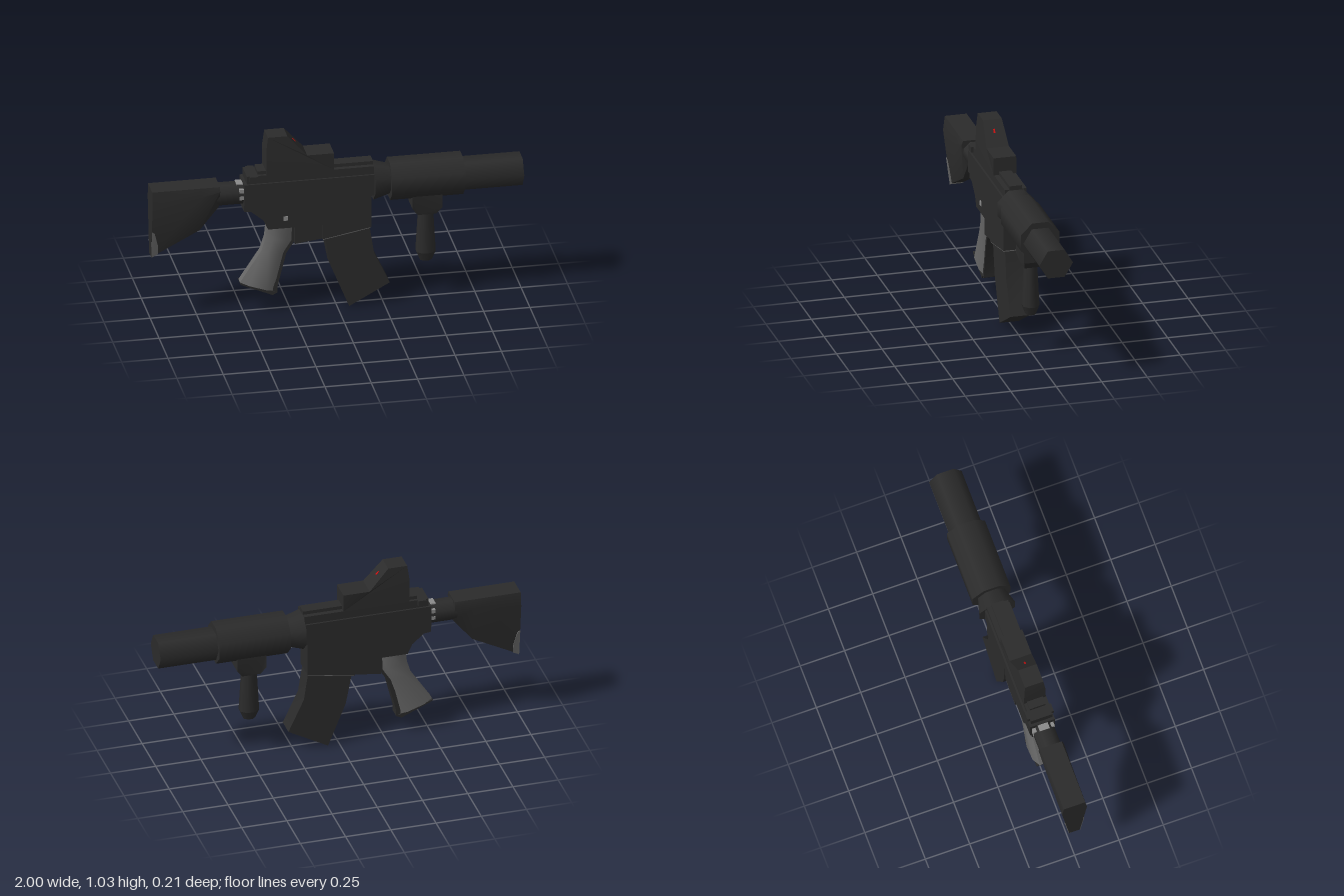
import * as THREE from 'three';
import { toCreasedNormals } from 'three/addons/utils/BufferGeometryUtils.js';

const material = (name, color) => {
  const m = new THREE.MeshStandardMaterial({ color });
  m.name = name;
  return m;
};

export function createModel() {
  const model = new THREE.Group();
  model.name = 'carbine';
  const dark = material('dark metal', 0x2b2b2b);
  const grey = material('worn grey', 0x666666);
  const light = material('bare metal', 0x8a8a8a);
  const red = material('red dot', 0xd01010);

  const add = (name, geometry, mat = dark) => {
    const mesh = new THREE.Mesh(geometry, mat);
    mesh.name = name;
    model.add(mesh);
    return mesh;
  };

  // Box from its limits, symmetric in z
  const box = (name, x0, x1, y0, y1, halfZ, mat) =>
    add(name, new THREE.BoxGeometry(x1 - x0, y1 - y0, halfZ * 2), mat)
      .position.set((x0 + x1) / 2, (y0 + y1) / 2, 0);

  // Side profile extruded across z; half width may vary with height
  const prism = (name, points, halfWidth, mat) => {
    const shape = new THREE.Shape(points.map(p => new THREE.Vector2(...p)));
    const g = new THREE.ExtrudeGeometry(shape, { depth: 2, bevelEnabled: false });
    g.translate(0, 0, -1);
    const pos = g.attributes.position;
    for (let i = 0; i < pos.count; i++) {
      const w = typeof halfWidth === 'number' ? halfWidth : halfWidth(pos.getX(i), pos.getY(i));
      pos.setZ(i, pos.getZ(i) * w);
    }
    return add(name, toCreasedNormals(g, 0.5), mat);
  };

  // Loft through symmetric rings; each ring runs from point a to point b,
  // with [t, halfZ] pairs giving the width along that line
  const loft = (name, rings, mat) => {
    const loops = rings.map(({ a, b, section }) => {
      const side = s => section.map(([t, z]) =>
        new THREE.Vector3(a[0] + (b[0] - a[0]) * t, a[1] + (b[1] - a[1]) * t, s * z));
      return [...side(1), ...side(-1).reverse()];
    });
    const n = loops[0].length, tris = [];
    for (let r = 0; r + 1 < loops.length; r++) {
      for (let i = 0; i < n; i++) {
        const j = (i + 1) % n, p = loops[r], q = loops[r + 1];
        tris.push([p[i], p[j], q[j]], [p[i], q[j], q[i]]);
      }
    }
    const first = loops[0], last = loops[loops.length - 1];
    for (let i = 1; i + 1 < n; i++) {
      tris.push([first[0], first[i + 1], first[i]], [last[0], last[i], last[i + 1]]);
    }
    // Turn all faces outward
    const centre = first[0].clone().add(last[0]).multiplyScalar(0.5);
    let volume = 0;
    for (const t of tris) {
      const [a, b, c] = t.map(v => v.clone().sub(centre));
      volume += a.dot(b.cross(c));
    }
    if (volume < 0) tris.forEach(t => t.reverse());
    const g = new THREE.BufferGeometry().setFromPoints(tris.flat());
    return add(name, toCreasedNormals(g, 0.75), mat);
  };

  // Faceted tube along x; turn rotates the facets
  const tube = (name, x0, x1, y, r0, r1, sides, turn, scaleY = 1, mat = dark) => {
    const g = new THREE.CylinderGeometry(r1, r0, x1 - x0, sides);
    g.rotateY(turn);
    g.rotateZ(-Math.PI / 2);
    g.scale(1, scaleY, 1);
    g.translate((x0 + x1) / 2, y, 0);
    return add(name, g, mat);
  };

  // Shoulder stock, narrowing towards its lower edge
  const stockSection = [[0, 0.03], [0.8, 0.07], [1, 0.06]];
  loft('stock', [[-1, 0.375], [-0.74, 0.51], [-0.635, 0.64]].map(([x, y]) => (
    { a: [x, y], b: [x, 0.768], section: stockSection })));
  loft('stockWornCorner', [
    { a: [-0.9995, 0.373], b: [-0.9995, 0.53], section: [[0, 0.033], [1, 0.054]] },
    { a: [-0.985, 0.381], b: [-0.985, 0.52], section: [[0, 0.033], [1, 0.053]] },
    { a: [-0.965, 0.39], b: [-0.965, 0.44], section: [[0, 0.033], [1, 0.041]] }
  ], grey);
  tube('bufferTube', -0.65, -0.49, 0.70, 0.062, 0.062, 8, Math.PI / 8);

  // Worn marks on the tube collar
  box('collarMarkTop', -0.54, -0.505, 0.755, 0.761, 0.028, light);
  for (const y of [0.69, 0.73]) {
    box('collarMarkSide', -0.53, -0.505, y - 0.01, y + 0.01, 0.06, light);
  }

  // Upper receiver, rail and charging handle
  box('upperReceiver', -0.505, 0.195, 0.648, 0.77, 0.07);
  box('upperReceiverTop', -0.49, 0.195, 0.77, 0.815, 0.06);
  box('rail', -0.425, 0.195, 0.81, 0.834, 0.034);
  box('chargingHandle', -0.475, -0.43, 0.785, 0.815, 0.074);
  box('rearSightBase', -0.43, -0.385, 0.81, 0.834, 0.045);

  // Lower receiver, trigger section and magazine well
  prism('lowerReceiver', [[-0.505, 0.65], [-0.505, 0.61], [-0.465, 0.605], [-0.4, 0.55],
    [-0.375, 0.495], [-0.08, 0.495], [-0.08, 0.65]], 0.06);
  prism('triggerSection', [[-0.23, 0.5], [-0.23, 0.395], [-0.075, 0.415], [-0.075, 0.5]], 0.055);
  prism('magazineWell', [[-0.083, 0.655], [-0.083, 0.413], [0.18, 0.462], [0.18, 0.655]], 0.064);
  prism('magazineWellEdge', [[-0.078, 0.414], [-0.078, 0.408], [0.176, 0.455], [0.176, 0.461]], 0.06, grey);
  box('receiverPin', -0.293, -0.268, 0.54, 0.565, 0.01, light);
  model.getObjectByName('receiverPin').position.z = 0.054;

  // Curved magazine
  prism('magazine', [[-0.07, 0.43], [-0.035, 0.245], [0.063, 0.003], [0.282, 0.123],
    [0.197, 0.305], [0.172, 0.47]], 0.053);

  // Pistol grip with a dark front strap and butt
  const gripSection = [[0, 0.022], [0.25, 0.045], [0.75, 0.045], [1, 0.025]];
  loft('pistolGrip', [
    { a: [-0.375, 0.5], b: [-0.228, 0.5] },
    { a: [-0.382, 0.43], b: [-0.232, 0.405] },
    { a: [-0.405, 0.355], b: [-0.278, 0.335] },
    { a: [-0.52, 0.18], b: [-0.332, 0.115] }
  ].map(r => ({ ...r, section: gripSection })), grey);
  prism('gripFrontStrap', [[-0.224, 0.497], [-0.226, 0.405], [-0.272, 0.335], [-0.318, 0.15],
    [-0.32, 0.108], [-0.34, 0.098], [-0.345, 0.14], [-0.295, 0.335], [-0.25, 0.41], [-0.245, 0.497]], 0.032);
  prism('gripButt', [[-0.521, 0.18], [-0.519, 0.172], [-0.345, 0.097], [-0.33, 0.115]], 0.038);

  // Optical sight, tapering upward, with its aiming dot on the sloped face
  prism('sight', [[-0.385, 0.815], [-0.385, 0.95], [-0.375, 1.03], [-0.27, 1.03],
    [-0.165, 0.912], [-0.02, 0.912], [-0.02, 0.815]],
    (x, y) => y > 0.91 ? 0.062 - (y - 0.91) * 0.085 : 0.062);
  const dot = add('aimingDot', new THREE.BoxGeometry(0.024, 0.004, 0.009), red);
  dot.position.set(-0.226, 0.981, 0.002);
  dot.rotation.z = Math.atan2(-0.118, 0.105);

  // Collar, handguard and muzzle
  tube('collar', 0.195, 0.29, 0.71, 0.108, 0.08, 8, Math.PI / 8);
  tube('handguard', 0.285, 0.68, 0.708, 0.115, 0.115, 8, Math.PI / 8);
  tube('muzzle', 0.67, 1, 0.704, 0.092, 0.092, 6, 0, 0.97);

  // Vertical foregrip: mount, handle and pommel
  const mount = [[0.405, 0.63], [0.405, 0.54], [0.435, 0.5], [0.535, 0.5], [0.565, 0.54], [0.565, 0.63]];
  prism('foregripMount', mount, (x, y) => y < 0.52 ? 0.045 : 0.056);
  const post = [[0.042, 0.51, 0.27, 0.056, 'foregripHandle'], [0.056, 0.27, 0.22, 0.034, 'foregripPommel']];
  for (const [rTop, yTop, yBottom, rBottom, name] of post) {
    const g = new THREE.CylinderGeometry(rTop, rBottom, yTop - yBottom, 8);
    g.rotateY(Math.PI / 8);
    g.scale(1, 1, 0.85);
    g.translate(0.485, (yTop + yBottom) / 2, 0);
    add(name, g);
  }
  return model;
}
